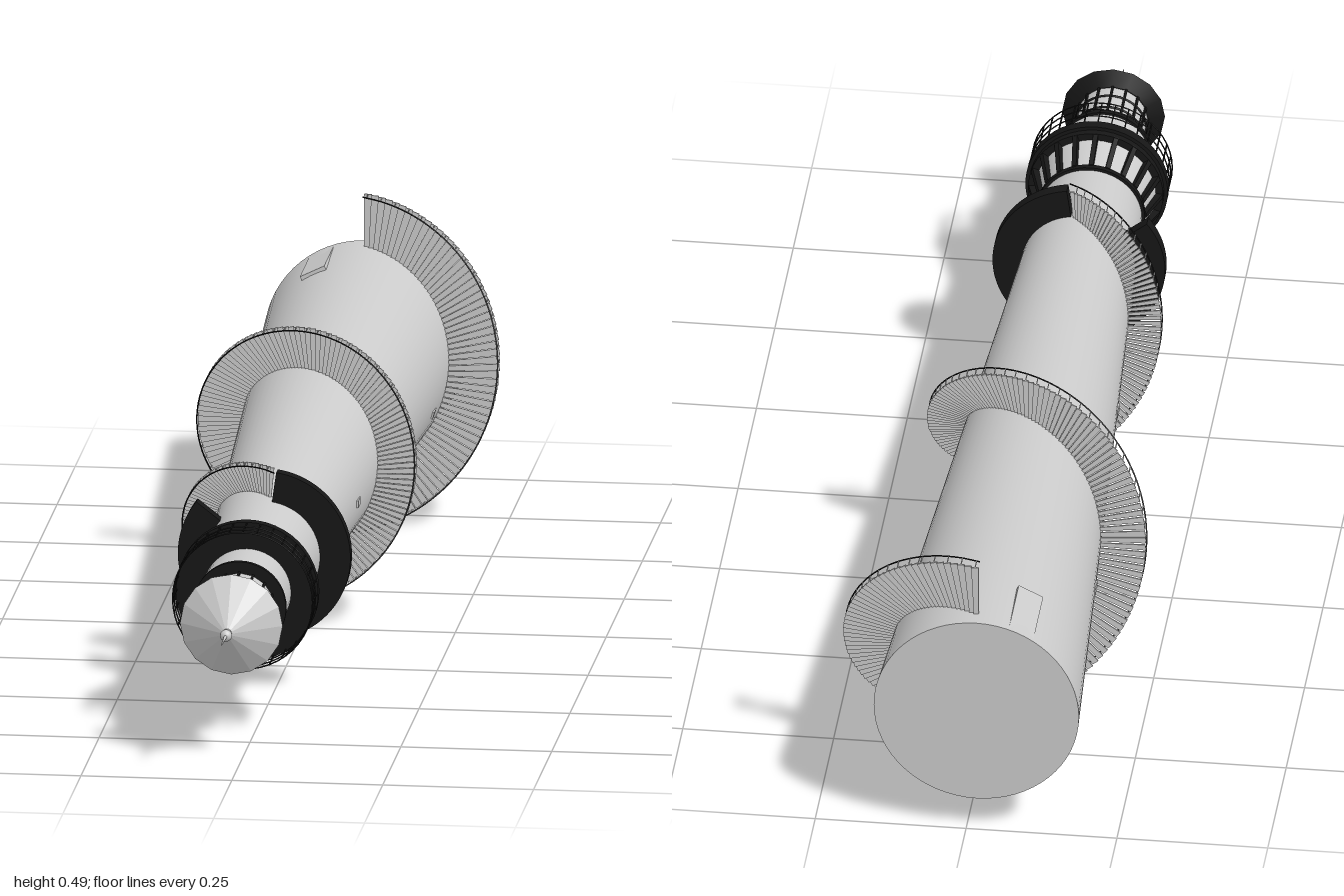
import * as THREE from 'three';
import { mergeGeometries } from 'three/addons/utils/BufferGeometryUtils.js';

const grey = new THREE.MeshStandardMaterial({ color: 0xcccccc });
const greyFlat = new THREE.MeshStandardMaterial({ color: 0xcccccc, flatShading: true });
const black = new THREE.MeshStandardMaterial({ color: 0x161616 });
const rad = THREE.MathUtils.degToRad;

// Radius of the tapered tower at height h
const towerRadius = (h) => 0.17 - 0.085 * (h / 1.55);
// Point at angle a, radius r, height h around the tower axis
const around = (a, r, h) => new THREE.Vector3(r * Math.cos(a), h, -r * Math.sin(a));

export function createModel() {
  const model = new THREE.Group();
  const tower = new THREE.Group();
  tower.name = 'lighthouse';
  model.add(tower);

  const add = (name, geometry, material = grey) => {
    const mesh = new THREE.Mesh(geometry, material);
    mesh.name = name;
    tower.add(mesh);
    return mesh;
  };
  // Round section between heights h0 and h1
  const drum = (name, r0, r1, h0, h1, material = grey, sides = 48) =>
    add(name, new THREE.CylinderGeometry(r1, r0, h1 - h0, sides).translate(0, (h0 + h1) / 2, 0), material);
  // The same geometry repeated evenly around the axis
  const repeat = (name, count, make, material = grey) => {
    const parts = [];
    for (let i = 0; i < count; i++) parts.push(make().rotateY((i / count) * Math.PI * 2));
    return add(name, mergeGeometries(parts), material);
  };
  const ring = (name, r, tube, h, material = black) =>
    add(name, new THREE.TorusGeometry(r, tube, 6, 48).rotateX(Math.PI / 2).translate(0, h, 0), material);

  // Main shaft
  drum('shaft', 0.17, 0.085, 0, 1.55, grey, 64);

  // Gallery: flared neck, brackets, deck and open railing
  drum('galleryFoot', 0.09, 0.09, 1.55, 1.56, black);
  drum('galleryNeck', 0.085, 0.1, 1.56, 1.62);
  repeat('galleryBracket', 20, () => {
    const g = new THREE.BoxGeometry(0.016, 0.065, 0.008);
    const p = g.attributes.position;
    for (let i = 0; i < p.count; i++) {
      if (p.getX(i) > 0 && p.getY(i) > 0) p.setX(i, 0.028);
    }
    g.translate(0.084, 1.59, 0);
    g.computeVertexNormals();
    return g;
  }, black);
  drum('galleryDeckLower', 0.112, 0.112, 1.62, 1.632, black);
  drum('galleryDeck', 0.118, 0.118, 1.632, 1.65, black);
  for (const h of [1.67, 1.69, 1.71]) ring('galleryRail', 0.116, 0.0012, h);
  repeat('galleryPost', 32, () => new THREE.BoxGeometry(0.002, 0.06, 0.002).translate(0.116, 1.68, 0), black);

  // Watch room and lantern
  drum('watchRoom', 0.073, 0.073, 1.65, 1.745);
  drum('lanternSill', 0.077, 0.077, 1.743, 1.752, black);
  drum('lanternGlass', 0.058, 0.058, 1.752, 1.862, grey, 16);
  repeat('lanternMullion', 16, () => new THREE.BoxGeometry(0.005, 0.11, 0.004).translate(0.058, 1.807, 0), black);
  for (const h of [1.79, 1.825]) ring('lanternBar', 0.059, 0.002, h);

  // Faceted roof with ball and spike
  drum('roofSoffit', 0.06, 0.085, 1.852, 1.865, black, 16);
  drum('roof', 0.085, 0.008, 1.865, 1.925, greyFlat, 16);
  add('finialBall', new THREE.SphereGeometry(0.01, 16, 12).translate(0, 1.938, 0));
  drum('finialSpike', 0.003, 0.001, 1.94, 2, grey, 8);

  // Landing: broad ring with a gap where the stair arrives
  const landing = new THREE.Shape();
  landing.absarc(0, 0, 0.143, rad(142), rad(442), false);
  landing.absarc(0, 0, 0.088, rad(442), rad(142), true);
  add('landing', new THREE.ExtrudeGeometry(landing, { depth: 0.022, bevelEnabled: false, curveSegments: 48 })
    .rotateX(-Math.PI / 2).translate(0, 1.391, 0), black);

  // Spiral stair: two turns of wedge treads, narrowing with the shaft
  const perTurn = 130, turns = 2.02, pitch = 0.675;
  const angle = (t) => Math.PI / 2 - t * Math.PI * 2;
  const height = (t) => 0.03 + pitch * t;
  const outer = (t) => towerRadius(height(t)) * 1.53;
  const treads = [], posts = [];
  for (let i = 0; i < Math.floor(turns * perTurn); i++) {
    const t = (i + 0.5) / perTurn;
    const r0 = towerRadius(height(t)) - 0.003, r1 = outer(t);
    const tread = new THREE.BoxGeometry(r1 - r0, 0.0026, 2).translate((r0 + r1) / 2, 0, 0);
    const p = tread.attributes.position;
    for (let k = 0; k < p.count; k++) p.setZ(k, p.getZ(k) * p.getX(k) * Math.tan(Math.PI / perTurn));
    treads.push(tread.rotateY(angle(t)).translate(0, height(t), 0));
    if (i % 2 === 0) {
      posts.push(new THREE.BoxGeometry(0.0015, 0.022, 0.0015)
        .translate(r1 - 0.001, 0.011, 0).rotateY(angle(t)).translate(0, height(t), 0));
    }
  }
  add('stairTreads', mergeGeometries(treads));
  add('stairPosts', mergeGeometries(posts));
  const railPoints = [];
  for (let i = 0; i <= 96; i++) {
    const t = (i / 96) * turns;
    railPoints.push(around(angle(t), outer(t) - 0.001, height(t) + 0.022));
  }
  add('stairRail', new THREE.TubeGeometry(new THREE.CatmullRomCurve3(railPoints), 260, 0.0013, 5), black);

  // Door and small windows set into the shaft
  const panel = (name, a, h, width, tall) => {
    const g = new THREE.BoxGeometry(0.008, tall, width).translate(towerRadius(h) - 0.002, h, 0).rotateY(rad(a));
    add(name, g);
  };
  panel('door', 116, 0.072, 0.045, 0.135);
  for (const [a, h] of [[-15, 0.31], [0, 1.05], [180, 0.4], [180, 0.95]]) panel('window', a, h, 0.012, 0.03);

  // Lay the tower down with the lantern toward the front
  tower.rotation.x = Math.PI / 2;
  tower.position.set(-0.017, 0.229, -1);
  return model;
}
